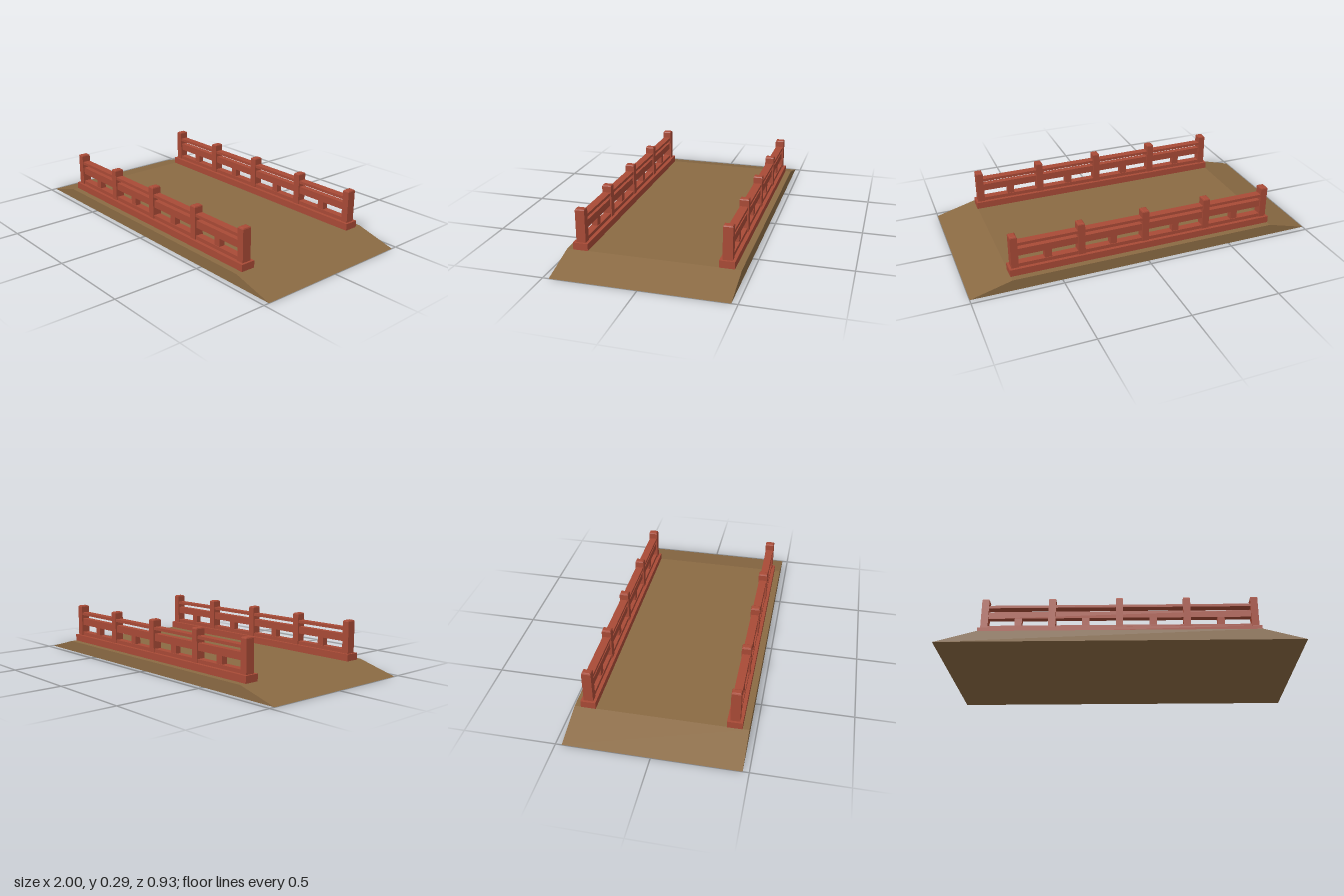
import * as THREE from 'three';

const RAIL_Z = 0.391;      // centre line of each railing
const DECK_TOP = 0.063;
const POST_STEP = 0.37;

export function createModel() {
  const earth = new THREE.MeshStandardMaterial({ color: 0x8a6a43 });
  earth.name = 'earthBrown';
  const red = new THREE.MeshStandardMaterial({ color: 0xa84a36 });
  red.name = 'railingRed';

  const model = new THREE.Group();
  model.name = 'bridge';

  // Deck: flat centre with a ramp at each end
  const profile = new THREE.Shape([
    new THREE.Vector2(-1, 0), new THREE.Vector2(1, 0),
    new THREE.Vector2(0.77, DECK_TOP), new THREE.Vector2(-0.77, DECK_TOP),
  ]);
  const deckGeo = new THREE.ExtrudeGeometry(profile, { depth: 0.934, bevelEnabled: false });
  deckGeo.translate(0, 0, -0.467);
  const deck = new THREE.Mesh(deckGeo, earth);
  deck.name = 'deck';
  model.add(deck);

  // Post with chamfered top, its foot sunk into the sill
  const bevel = 0.008, hw = 0.02, hd = 0.026, foot = 0.085, top = 0.288;
  const section = new THREE.Shape([
    new THREE.Vector2(-hw, -hd), new THREE.Vector2(hw, -hd),
    new THREE.Vector2(hw, hd), new THREE.Vector2(-hw, hd),
  ]);
  const postGeo = new THREE.ExtrudeGeometry(section, {
    depth: top - foot - 2 * bevel, bevelThickness: bevel, bevelSize: bevel,
    bevelOffset: -bevel, bevelSegments: 2,
  });
  postGeo.rotateX(-Math.PI / 2);
  postGeo.translate(0, foot + bevel, 0);

  function addBox(parent, name, x, y0, y1, width, depth) {
    const mesh = new THREE.Mesh(new THREE.BoxGeometry(width, y1 - y0, depth), red);
    mesh.position.set(x, (y0 + y1) / 2, 0);
    mesh.name = name;
    parent.add(mesh);
  }

  for (const side of [1, -1]) {
    const railing = new THREE.Group();
    railing.name = side > 0 ? 'frontRailing' : 'backRailing';
    railing.position.z = side * RAIL_Z;

    // Long horizontal members
    addBox(railing, 'sill', 0, DECK_TOP, 0.102, 1.545, 0.082);
    addBox(railing, 'bottomRail', 0, 0.102, 0.122, 1.48, 0.042);
    addBox(railing, 'middleRail', 0, 0.167, 0.208, 1.48, 0.034);
    addBox(railing, 'topRail', 0, 0.23, 0.246, 1.48, 0.044);

    // Posts
    for (let i = -2; i <= 2; i++) {
      const post = new THREE.Mesh(postGeo, red);
      post.position.x = i * POST_STEP;
      post.name = 'post';
      railing.add(post);
    }

    // Short struts halfway between posts
    for (let i = -1.5; i <= 1.5; i++) {
      addBox(railing, 'strut', i * POST_STEP, 0.122, 0.167, 0.04, 0.034);
    }
    model.add(railing);
  }
  return model;
}
